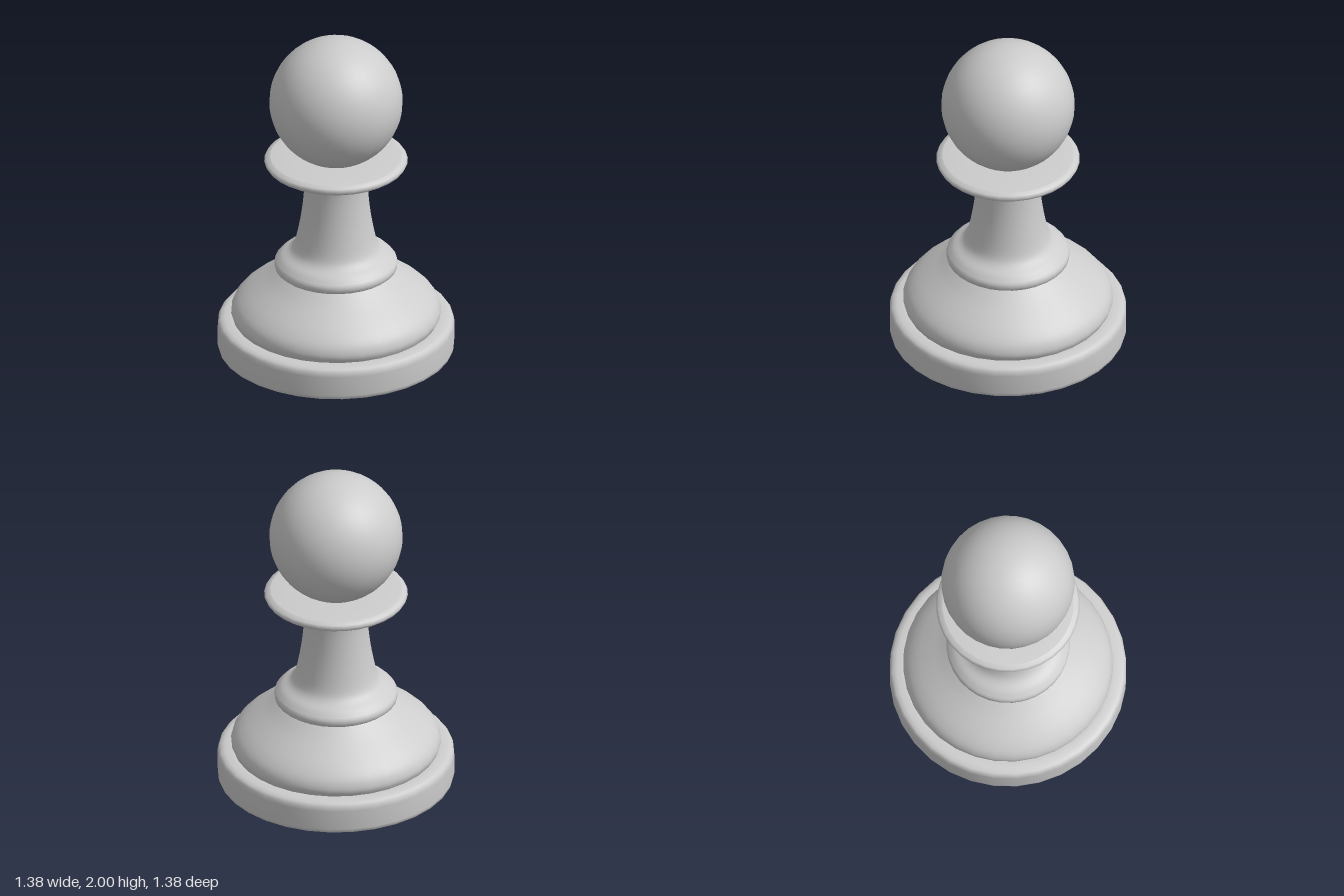
import * as THREE from 'three';

const SIDES = 32;

export function createModel() {
  const group = new THREE.Group();
  const grey = new THREE.MeshStandardMaterial({ color: 0xcccccc });
  grey.name = 'pale grey';

  const add = (name, geometry) => {
    const mesh = new THREE.Mesh(geometry, grey);
    mesh.name = name;
    group.add(mesh);
    return mesh;
  };
  // Turned part from [radius, height] pairs, listed bottom to top; smooth > 0 resamples as a curve
  const turned = (name, pairs, smooth = 0) => {
    let points = pairs.map(([r, y]) => new THREE.Vector2(r, y));
    if (smooth) points = new THREE.SplineCurve(points).getPoints(smooth);
    return add(name, new THREE.LatheGeometry(points, SIDES));
  };

  // Foot disc with rounded rim
  turned('footUnderside', [[0, 0], [0.675, 0]]);
  turned('footRim', [[0.675, 0], [0.687, 0.008], [0.692, 0.03], [0.692, 0.15],
    [0.688, 0.175], [0.675, 0.191], [0.65, 0.198], [0.62, 0.2]]);
  turned('footTop', [[0.62, 0.2], [0.55, 0.2]]);

  // Domed skirt above the foot
  turned('skirt', [[0.6, 0.2], [0.613, 0.24], [0.595, 0.295], [0.545, 0.35],
    [0.475, 0.405], [0.4, 0.46], [0.32, 0.525]], 20);

  // Lower ring
  turned('ringUnderside', [[0.29, 0.52], [0.345, 0.52]]);
  turned('ringRim', [[0.345, 0.52], [0.357, 0.53], [0.36, 0.55], [0.357, 0.568], [0.345, 0.58]]);

  // Waisted stem flaring into the ring and the collar
  turned('stem', [[0.35, 0.577], [0.32, 0.607], [0.27, 0.64], [0.24, 0.69], [0.215, 0.8],
    [0.197, 0.92], [0.187, 1.04], [0.19, 1.12], [0.207, 1.175], [0.235, 1.2]], 30);

  // Thin collar
  turned('collarUnderside', [[0.18, 1.195], [0.395, 1.198]]);
  turned('collarRim', [[0.395, 1.198], [0.41, 1.208], [0.42, 1.227], [0.41, 1.243], [0.385, 1.253]]);
  turned('collarTop', [[0.385, 1.253], [0.3, 1.262], [0.15, 1.266], [0, 1.266]]);

  // Ball head
  add('head', new THREE.SphereGeometry(0.39, SIDES, 24)).position.y = 1.61;

  return group;
}
